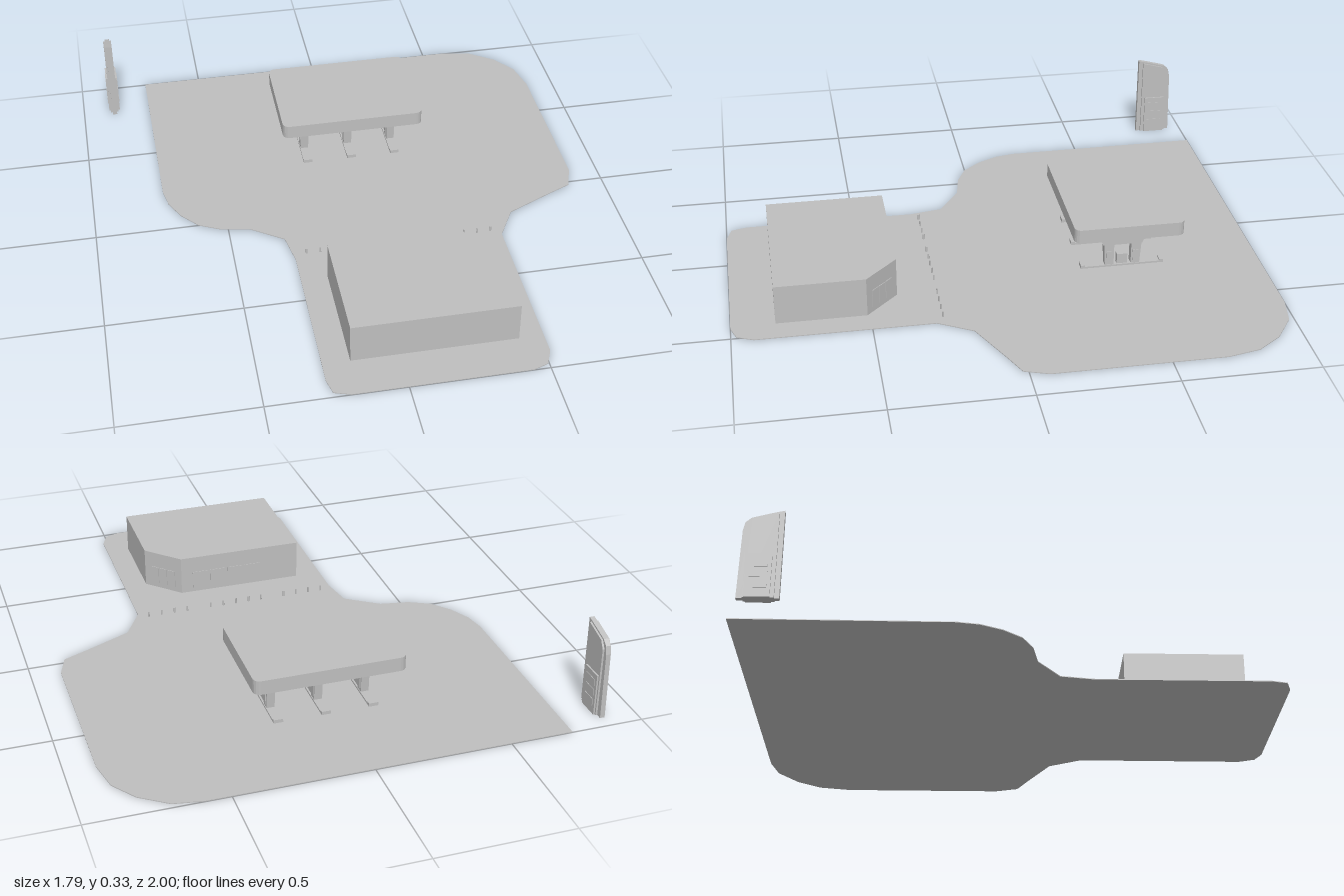
import * as THREE from 'three';

export function createModel() {
  const model = new THREE.Group();
  model.name = 'fillingStation';
  const grey = new THREE.MeshStandardMaterial({ color: 0xbebebe });
  grey.name = 'plain grey';

  const add = (parent, name, geometry, x = 0, y = 0, z = 0) => {
    const mesh = new THREE.Mesh(geometry, grey);
    mesh.name = name;
    mesh.position.set(x, y, z);
    parent.add(mesh);
    return mesh;
  };
  const group = (name, x = 0, y = 0, z = 0) => {
    const g = new THREE.Group();
    g.name = name;
    g.position.set(x, y, z);
    model.add(g);
    return g;
  };
  const box = (parent, name, w, h, d, x, y, z) =>
    add(parent, name, new THREE.BoxGeometry(w, h, d), x, y, z);
  const toShape = (points) => new THREE.Shape(points.map(([a, b]) => new THREE.Vector2(a, b)));
  // Raise a floor plan of [x, z] points by a height
  const raise = (plan, height) => new THREE.ExtrudeGeometry(
    toShape(plan.map(([x, z]) => [x, -z])), { depth: height, bevelEnabled: false }
  ).rotateX(-Math.PI / 2);
  // Extrude a side outline of [z, y] points, centred across x
  const sideSlab = (outline, width) => new THREE.ExtrudeGeometry(
    toShape(outline), { depth: width, bevelEnabled: false }
  ).translate(0, 0, -width / 2).rotateY(-Math.PI / 2);

  // Paved forecourt
  add(model, 'forecourt', raise([
    [-0.73, -1], [0.59, -1], [0.7, -0.98], [0.8, -0.91], [0.865, -0.82], [0.89, -0.7],
    [0.89, -0.07], [0.86, 0.02], [0.77, 0.06], [0.59, 0.145], [0.52, 0.27], [0.52, 0.92],
    [0.495, 0.98], [0.44, 1], [-0.2, 1], [-0.26, 0.98], [-0.275, 0.92], [-0.275, 0.27],
    [-0.297, 0.145], [-0.42, 0.06], [-0.53, 0.04], [-0.61, 0], [-0.67, -0.07],
    [-0.71, -0.15], [-0.725, -0.23],
  ], 0.003));

  // Shop with one cut corner
  const shop = group('shop');
  add(shop, 'shopWalls', raise(
    [[-0.175, 0.39], [0.31, 0.39], [0.43, 0.51], [0.43, 0.84], [-0.175, 0.84]], 0.155));
  for (let i = 0; i < 4; i++) {
    box(shop, 'shopWindow', 0.066, 0.07, 0.005, 0.23 - i * 0.072, 0.055, 0.39);
  }
  const corner = group('cornerWindows', 0.37, 0.058, 0.45);
  corner.rotation.y = Math.PI * 0.75;
  for (const x of [-0.038, 0, 0.038]) box(corner, 'cornerPane', 0.034, 0.07, 0.005, x, 0, 0);

  // Canopy with rounded corners
  const roundedPlan = (x0, x1, z0, z1, r) => {
    const points = [];
    [[x1 - r, z1 - r], [x0 + r, z1 - r], [x0 + r, z0 + r], [x1 - r, z0 + r]].forEach(([x, z], q) => {
      for (let i = 0; i <= 4; i++) {
        const a = (q + i / 4) * Math.PI / 2;
        points.push([x + r * Math.cos(a), z + r * Math.sin(a)]);
      }
    });
    return points;
  };
  add(model, 'canopy', raise(roundedPlan(-0.232, 0.328, -0.688, -0.272, 0.025), 0.054), 0, 0.166, 0);
  add(model, 'canopyUnderside', raise(roundedPlan(-0.22, 0.316, -0.676, -0.284, 0.02), 0.008), 0, 0.159, 0);

  // Three pump islands with paired posts holding the canopy
  for (const x of [-0.13, 0.048, 0.226]) {
    const island = group('pumpIsland', x, 0, -0.475);
    box(island, 'islandKerb', 0.035, 0.01, 0.31, 0, 0.005, 0);
    for (const s of [-1, 1]) {
      box(island, 'kerbGuard', 0.035, 0.016, 0.015, 0, 0.008, s * 0.152);
      add(island, 'post', sideSlab(
        [[s * 0.033, 0], [s * 0.066, 0], [s * 0.072, 0.097], [s * 0.033, 0.097]], 0.03));
      box(island, 'pumpTrim', 0.036, 0.045, 0.022, 0, 0.045, s * 0.05);
    }
    add(island, 'crossBeam', sideSlab(
      [[-0.075, 0.095], [0.075, 0.095], [0.088, 0.128], [-0.088, 0.128]], 0.03));
    box(island, 'neck', 0.03, 0.036, 0.14, 0, 0.145, 0);
    box(island, 'bin', 0.022, 0.042, 0.04, 0, 0.029, 0);
  }

  // Row of bollards in front of the shop
  const bollards = group('bollards');
  for (const [start, count] of [[-0.229, 4], [0.022, 5], [0.326, 4]]) {
    for (let i = 0; i < count; i++) {
      add(bollards, 'bollard', new THREE.CylinderGeometry(0.0035, 0.0035, 0.025, 8),
        start + i * 0.052, 0.0125, 0.243);
    }
  }

  // Tall price sign with a curved top and a wider lower cabinet
  const sign = group('priceSign', -0.873);
  const outline = [[-0.948, 0], [-0.805, 0], [-0.805, 0.333], [-0.85, 0.322],
    [-0.915, 0.304], [-0.935, 0.286], [-0.942, 0.255]];
  add(sign, 'signSlab', sideSlab(outline, 0.018));
  add(sign, 'signFaces', sideSlab([[-0.927, 0], [-0.822, 0], [-0.822, 0.323],
    [-0.91, 0.299], [-0.927, 0.27]], 0.032));
  box(sign, 'signCabinet', 0.044, 0.16, 0.085, 0, 0.08, -0.878);
  for (const s of [-1, 1]) {
    for (const y of [0.045, 0.085, 0.125]) {
      box(sign, 'pricePanel', 0.004, 0.026, 0.06, s * 0.022, y, -0.878);
    }
  }
  return model;
}
